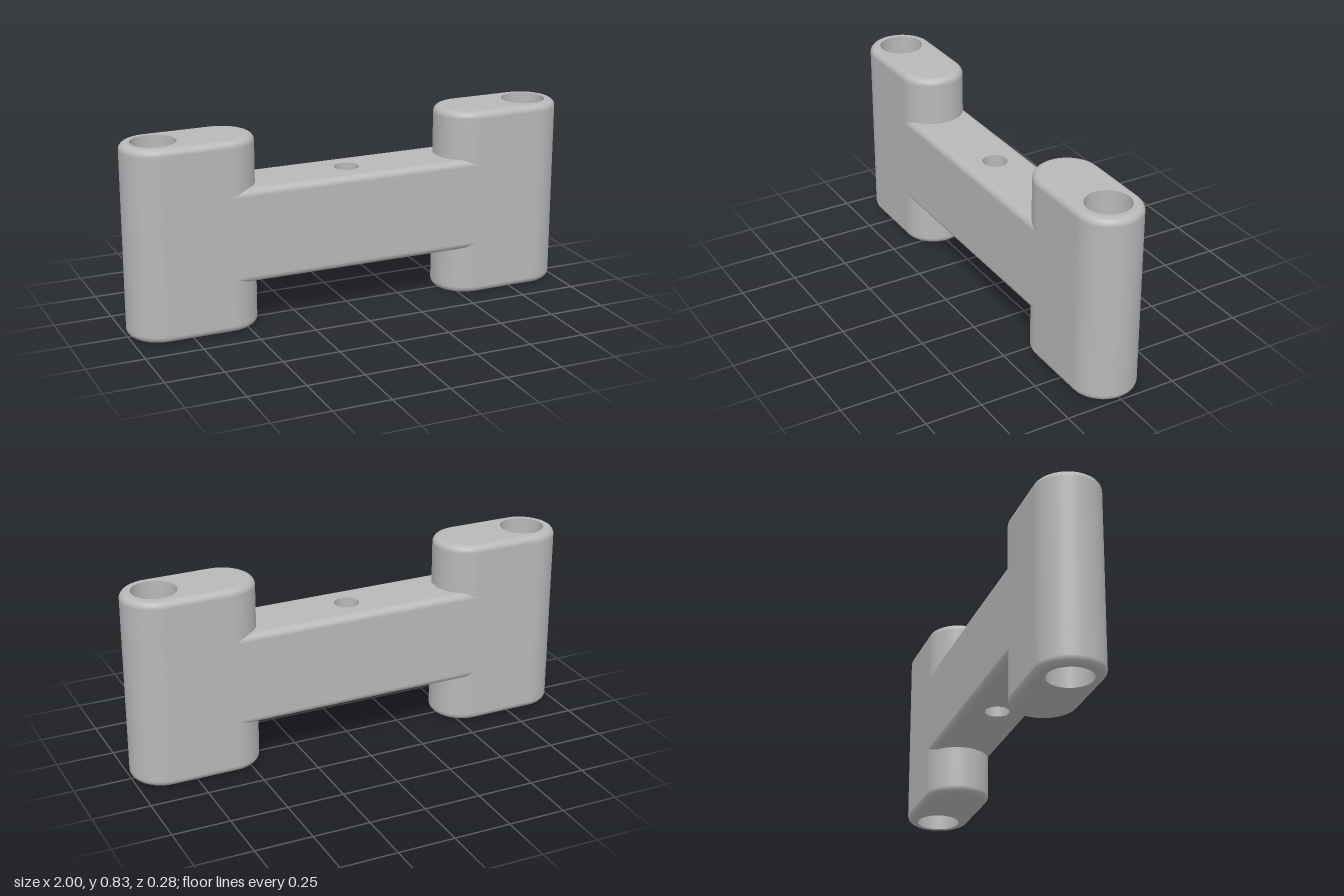
import * as THREE from 'three';
import { mergeGeometries } from 'three/addons/utils/BufferGeometryUtils.js';

const R = 0.142;        // half thickness, also the radius of the rounded ends
const FILLET = 0.03;
const NEAR = 0.572, FAR = 0.858; // centres of the two rounded ends of a block

// Points of an arc, anticlockwise, in plan (second coordinate is -z)
const arc = (cx, r, from, to, n) => Array.from({ length: n + 1 }, (_, i) => {
  const a = from + (to - from) * i / n;
  return [cx + r * Math.cos(a), r * Math.sin(a)];
});
const circle = (cx, r) => arc(cx, r, 0, Math.PI * 2, 48).slice(0, -1);
const stadium = (inset) => [
  ...arc(NEAR, R - inset, Math.PI / 2, Math.PI * 1.5, 28),
  ...arc(FAR, R - inset, -Math.PI / 2, Math.PI / 2, 28),
];

// Heights and insets of a wall with rounded top and bottom edges
function filletLayers(y0, y1) {
  const n = 8, bottom = [], top = [];
  for (let i = 0; i <= n; i++) {
    const a = i / n * Math.PI / 2;
    const inset = FILLET * (1 - Math.sin(a)), rise = FILLET * (1 - Math.cos(a));
    bottom.push([y0 + rise, inset]);
    top.unshift([y1 - rise, inset]);
  }
  return [...bottom, ...top];
}

// Wall through the plan outline at every layer
function skin(layers, outline, closed = true) {
  const pos = [], index = [];
  let n = 0;
  for (const [y, inset] of layers) {
    const ring = outline(inset);
    n = ring.length;
    for (const [x, v] of ring) pos.push(x, y, -v);
  }
  for (let j = 0; j < layers.length - 1; j++) {
    for (let i = 0; i < (closed ? n : n - 1); i++) {
      const k = (i + 1) % n, a = j * n, b = a + n;
      index.push(a + i, a + k, b + k, a + i, b + k, b + i);
    }
  }
  const g = new THREE.BufferGeometry();
  g.setAttribute('position', new THREE.Float32BufferAttribute(pos, 3));
  g.setIndex(index);
  g.computeVertexNormals();
  return g;
}

// Flat top and bottom faces pierced by a hole, plus the wall of the hole
function capsAndHole(outline, hole, y0, y1) {
  const toV = (p) => p.map(([x, v]) => new THREE.Vector2(x, v));
  const shape = new THREE.Shape(toV(outline));
  shape.holes.push(new THREE.Path(toV(hole)));
  const top = new THREE.ShapeGeometry(shape).rotateX(-Math.PI / 2).translate(0, y1, 0);
  const bottom = new THREE.ShapeGeometry(shape).rotateX(Math.PI / 2).translate(0, y0, 0);
  top.deleteAttribute('uv');
  bottom.deleteAttribute('uv');
  const bore = skin([[y0, 0], [y1, 0]], () => [...hole].reverse());
  return [top, bottom, bore];
}

export function createModel() {
  const model = new THREE.Group();
  model.name = 'linkBracket';
  const grey = new THREE.MeshStandardMaterial({ color: 0xb8b8b8 });
  grey.name = 'grey';

  // Upright end blocks, each with a vertical pin hole near its outer end
  const H = 0.835;
  const block = mergeGeometries([
    skin(filletLayers(0, H), stadium),
    ...capsAndHole(stadium(FILLET), circle(FAR, 0.096), 0, H),
  ]);
  for (const [name, turn] of [['leftEndBlock', 0], ['rightEndBlock', Math.PI]]) {
    const mesh = new THREE.Mesh(block, grey);
    mesh.name = name;
    mesh.rotation.y = turn;
    model.add(mesh);
  }

  // Crossbar with rounded long edges and a small central hole; its ends run into the blocks
  const y0 = 0.212, y1 = 0.622, w = R - FILLET;
  const layers = filletLayers(y0, y1);
  const bar = mergeGeometries([
    skin(layers, (d) => [[-NEAR, d - R], [NEAR, d - R]], false),
    skin(layers, (d) => [[NEAR, R - d], [-NEAR, R - d]], false),
    ...capsAndHole([[-NEAR, -w], [NEAR, -w], [NEAR, w], [-NEAR, w]], circle(0, 0.054), y0, y1),
  ]);
  const crossbar = new THREE.Mesh(bar, grey);
  crossbar.name = 'crossbar';
  model.add(crossbar);

  return model;
}
